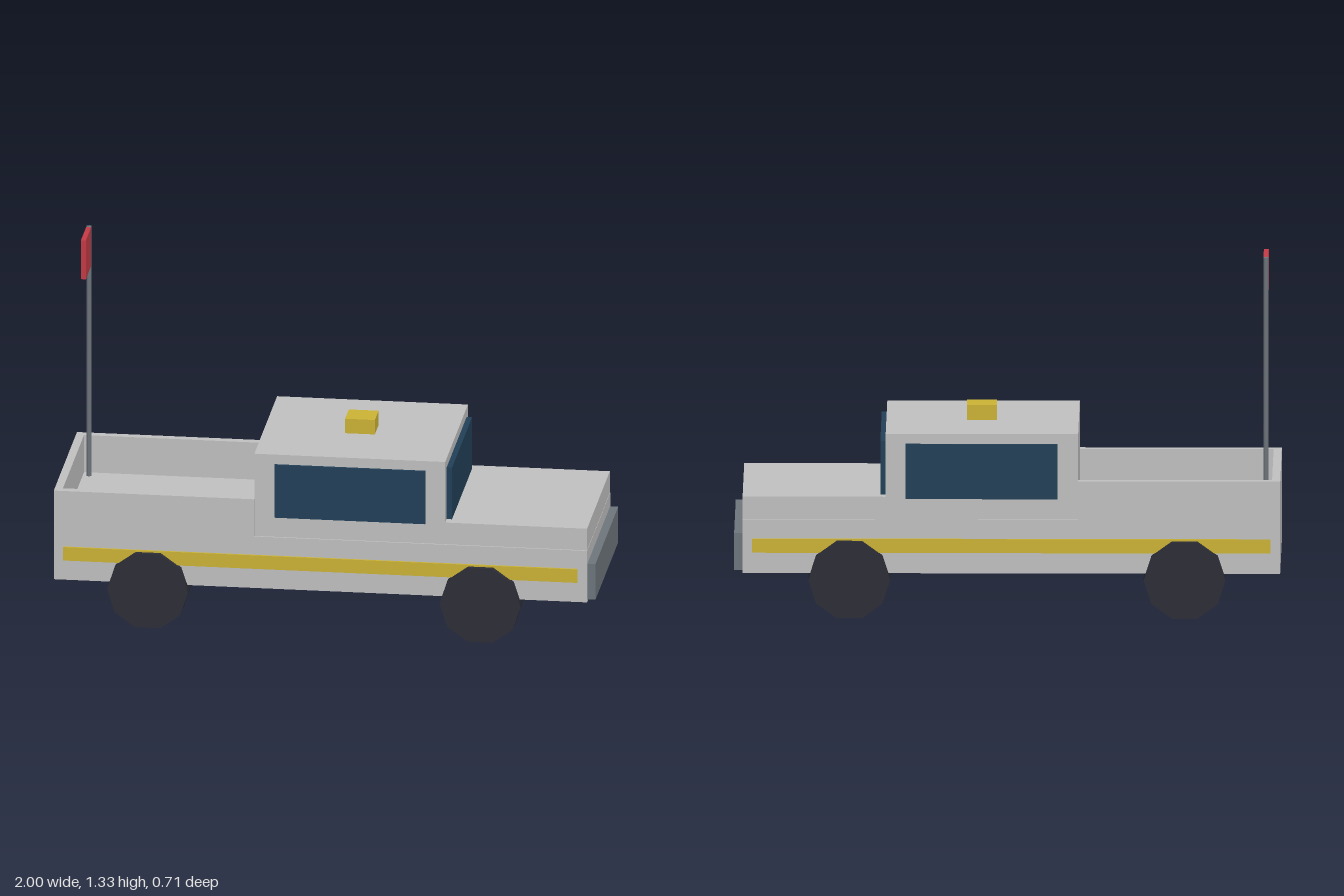
import * as THREE from 'three';

const paint = (name, color) => {
  const m = new THREE.MeshStandardMaterial({ color });
  m.name = name;
  return m;
};

export function createModel() {
  const silver = paint('silver body', 0xc0c0c0);
  const yellow = paint('yellow', 0xcbb335);
  const glass = paint('dark blue glass', 0x224058);
  const rubber = paint('black rubber', 0x2d2d37);
  const steel = paint('grey steel', 0x6e767c);
  const red = paint('red flag', 0xc43a46);

  const truck = new THREE.Group();
  truck.name = 'pickupTruck';

  const add = (name, geometry, material, x, y, z) => {
    const mesh = new THREE.Mesh(geometry, material);
    mesh.name = name;
    mesh.position.set(x, y, z);
    truck.add(mesh);
    return mesh;
  };

  // Box given by its lower and upper limits on each axis
  const box = (name, material, [x0, x1], [y0, y1], [z0, z1]) =>
    add(name, new THREE.BoxGeometry(x1 - x0, y1 - y0, z1 - z0), material,
      (x0 + x1) / 2, (y0 + y1) / 2, (z0 + z1) / 2);

  // Body: the nose points along +x
  box('chassis', silver, [-1, 0.97], [0.163, 0.363], [-0.326, 0.326]);
  box('hood', silver, [0.44, 0.969], [0.363, 0.447], [-0.32, 0.32]);
  box('cab', silver, [-0.26, 0.445], [0.363, 0.682], [-0.32, 0.32]);

  // Open load bed
  box('tailgate', silver, [-1, -0.97], [0.363, 0.507], [-0.326, 0.326]);
  for (const s of [-1, 1]) {
    const span = (a, b) => (s > 0 ? [a, b] : [-b, -a]);
    const side = s > 0 ? 'left' : 'right';
    box(side + 'BedWall', silver, [-0.97, -0.26], [0.363, 0.507], span(0.296, 0.326));

    // Painted stripe and side window
    box(side + 'Stripe', yellow, [-0.965, 0.935], [0.24, 0.292], span(0.325, 0.334));
    box(side + 'Window', glass, [-0.185, 0.372], [0.44, 0.645], span(0.319, 0.3285));

    // Ten-sided wheels with flats at top and bottom
    for (const [end, x] of [['Rear', -0.65], ['Front', 0.578]]) {
      const tyre = new THREE.CylinderGeometry(0.15, 0.15, 0.1, 10);
      tyre.rotateY(Math.PI / 2).rotateX(Math.PI / 2);
      add(side + end + 'Wheel', tyre, rubber, x, 0.1427, s * 0.303);
    }
  }

  box('windshield', glass, [0.445, 0.465], [0.447, 0.647], [-0.281, 0.281]);
  box('bumper', steel, [0.969, 1], [0.173, 0.311], [-0.32, 0.32]);
  box('roofBeacon', yellow, [0.04, 0.15], [0.68, 0.738], [-0.052, 0.052]);

  // Flag on a pole standing in the bed
  add('flagPole', new THREE.CylinderGeometry(0.0105, 0.0105, 0.969, 6), steel, -0.947, 0.8465, -0.2615);
  box('flag', red, [-0.956, -0.938], [1.18, 1.331], [-0.253, -0.103]);

  return truck;
}
